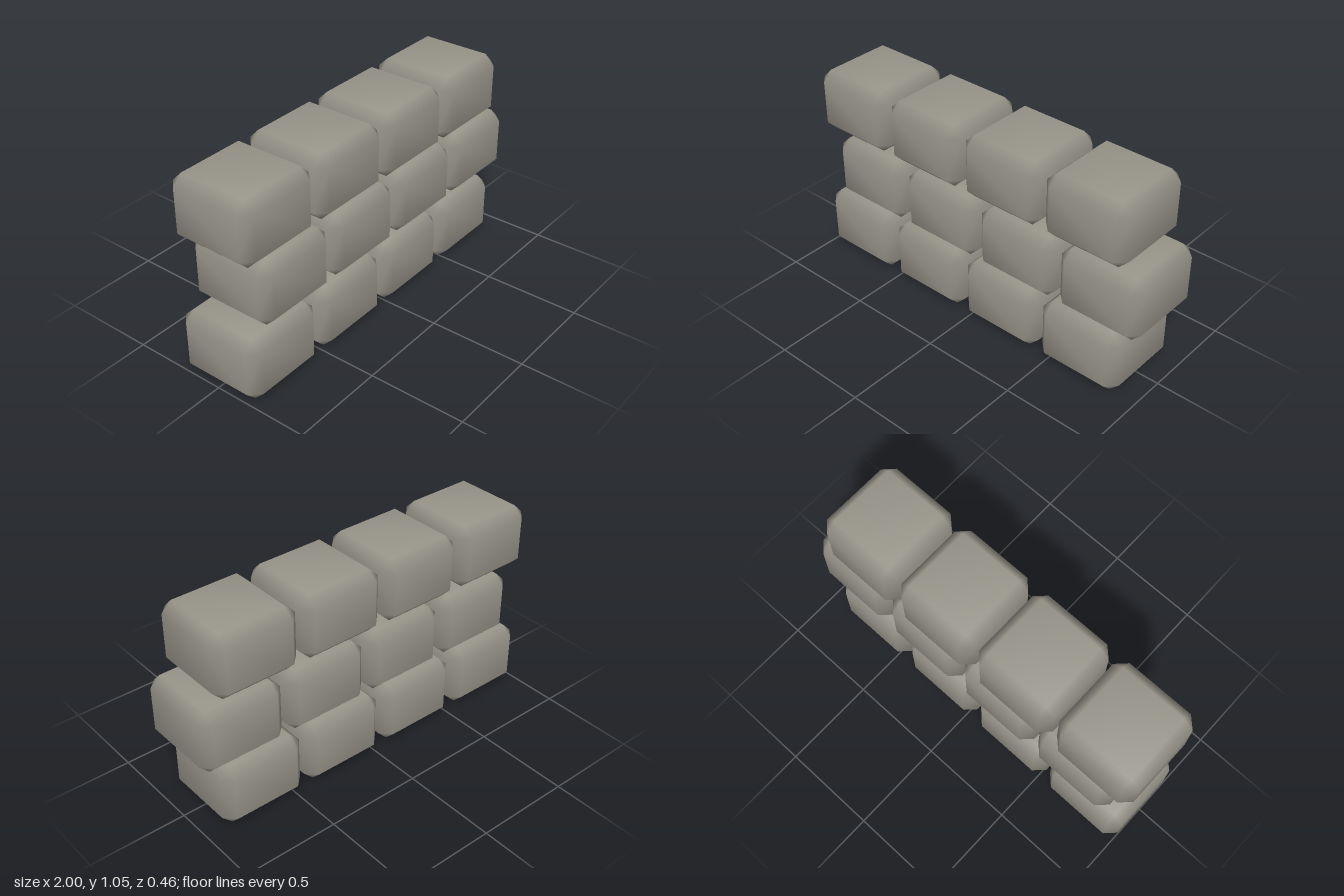
import * as THREE from 'three';
import { mergeVertices } from 'three/addons/utils/BufferGeometryUtils.js';
import { ConvexGeometry } from 'three/addons/geometries/ConvexGeometry.js';

const SIZE = [0.457, 0.334, 0.464];
const BEVEL = 0.053;
const PITCH_X = 0.482, PITCH_Y = 0.358;

// Box with one chamfer on every edge and smooth shared normals
function chamferedBox(size, bevel) {
  const points = [];
  for (const sx of [-1, 1]) for (const sy of [-1, 1]) for (const sz of [-1, 1]) {
    const signs = [sx, sy, sz];
    for (let axis = 0; axis < 3; axis++) {
      const p = signs.map((s, i) => s * (size[i] / 2 - (i === axis ? 0 : bevel)));
      points.push(new THREE.Vector3(...p));
    }
  }
  const hull = new ConvexGeometry(points);
  hull.deleteAttribute('normal');
  const geometry = mergeVertices(hull, 1e-4);
  geometry.computeVertexNormals();
  return geometry;
}

export function createModel() {
  const wall = new THREE.Group();
  wall.name = 'blockWall';
  const stone = new THREE.MeshStandardMaterial({ color: 0x98958a });
  stone.name = 'greyStone';
  const geometry = chamferedBox(SIZE, BEVEL);

  // Three courses of four blocks, the middle one shifted sideways
  for (let row = 0; row < 3; row++) {
    const course = new THREE.Group();
    course.name = ['bottomCourse', 'middleCourse', 'topCourse'][row];
    course.position.set(row === 1 ? 0.0485 : -0.0485, SIZE[1] / 2 + row * PITCH_Y, 0);
    for (let i = 0; i < 4; i++) {
      const block = new THREE.Mesh(geometry, stone);
      block.name = 'stoneBlock';
      block.position.x = (i - 1.5) * PITCH_X;
      course.add(block);
    }
    wall.add(course);
  }
  return wall;
}
